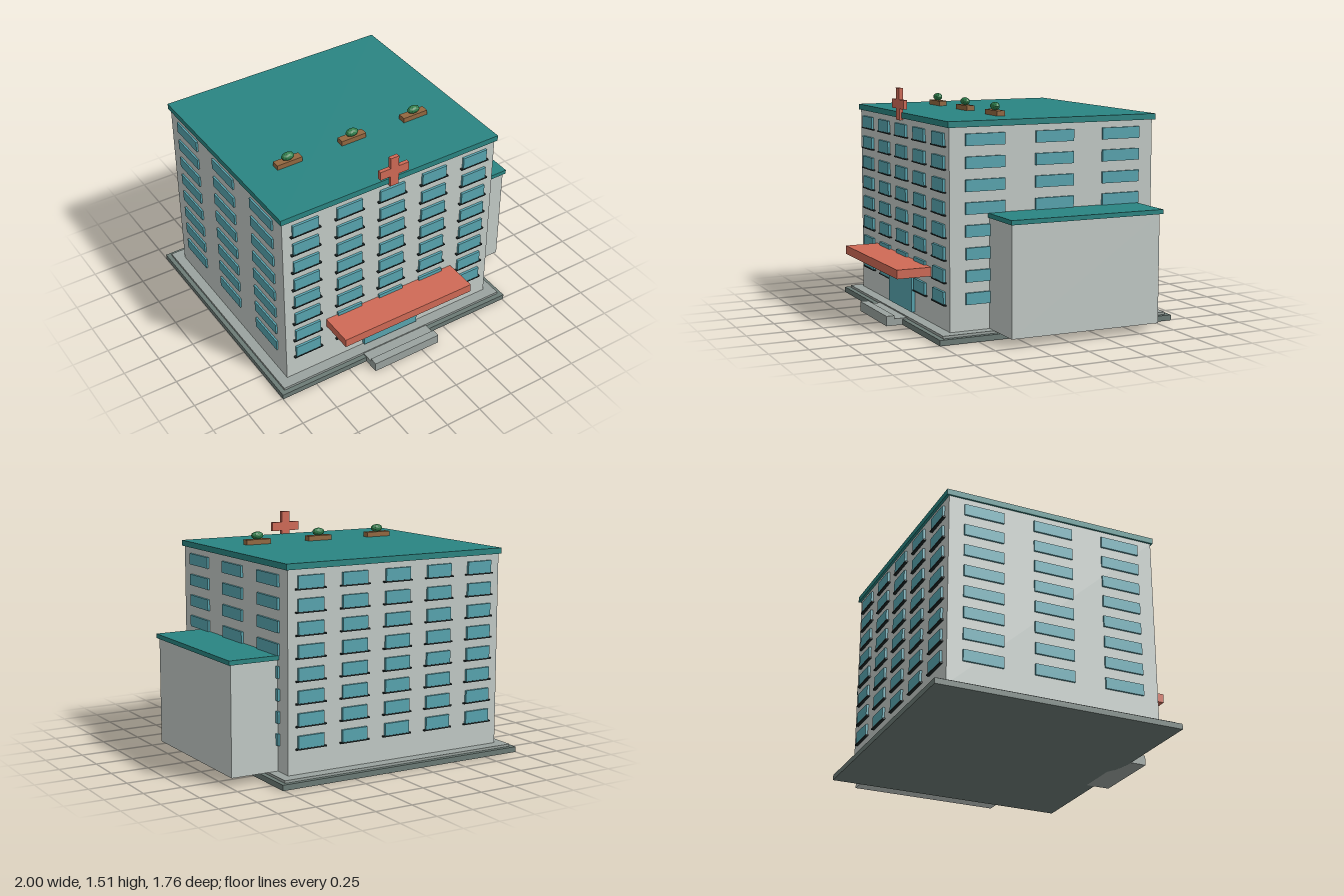
import * as THREE from 'three';

const mat = (color) => new THREE.MeshStandardMaterial({ color, flatShading: true });

export function createModel() {
  const model = new THREE.Group();
  model.name = 'hospital';
  const wall = mat(0xc3cbc7), teal = mat(0x2a8582), glass = mat(0x58a5b0);
  const darkStone = mat(0x6c7b76), stone = mat(0x9aa39f), red = mat(0xd06a56);
  const wood = mat(0x936840), leaf = mat(0x2e7d4a), dark = mat(0x1c2626);

  // Box given by its extents along each axis
  function box(name, material, [x0, x1], [y0, y1], [z0, z1], parent = model) {
    const m = new THREE.Mesh(new THREE.BoxGeometry(x1 - x0, y1 - y0, z1 - z0), material);
    m.position.set((x0 + x1) / 2, (y0 + y1) / 2, (z0 + z1) / 2);
    m.name = name;
    parent.add(m);
    return m;
  }
  function group(name) {
    const g = new THREE.Group();
    g.name = name;
    model.add(g);
    return g;
  }

  // Plinth in two steps
  box('basePlinth', darkStone, [-1, 0.76], [0, 0.036], [-0.88, 0.757]);
  box('upperPlinth', stone, [-0.97, 0.73], [0.036, 0.052], [-0.85, 0.724]);

  // Main block and its flat roof
  box('mainBlock', wall, [-0.905, 0.663], [0.052, 1.316], [-0.771, 0.65]);
  box('mainRoof', teal, [-0.917, 0.679], [1.316, 1.354], [-0.788, 0.663]);

  // Side wing
  box('wing', wall, [0.66, 0.983], [0.052, 0.752], [-0.643, 0.382]);
  box('wingRoof', teal, [0.66, 1], [0.752, 0.781], [-0.66, 0.393]);

  // Windows: eight floors on all four faces, sills on front and back
  const frontWindows = group('frontWindows'), backWindows = group('backWindows');
  const sideWindows = group('sideWindows');
  for (let floor = 0; floor < 8; floor++) {
    const y = 0.214 + floor * 0.1405;
    for (let col = 0; col < 5; col++) {
      const x = -0.746 + col * 0.313;
      const faces = [[backWindows, [-0.787, -0.76]]];
      // The entrance takes the place of the middle ground-floor window
      if (floor > 0 || col !== 2) faces.push([frontWindows, [0.64, 0.666]]);
      for (const [parent, z] of faces) {
        box('window', glass, [x - 0.09, x + 0.09], [y, y + 0.08], z, parent);
        box('sill', dark, [x - 0.105, x + 0.105], [y - 0.007, y + 0.002],
          [z[0] - 0.002, z[1] + 0.002], parent);
      }
    }
    for (const z of [0.413, -0.064, -0.537]) {
      for (const x of [[-0.917, -0.89], [0.65, 0.678]]) {
        box('sideWindow', glass, x, [y + 0.004, y + 0.078], [z - 0.133, z + 0.133], sideWindows);
      }
    }
  }

  // Entrance: door, canopy and step with a raised front lip
  box('entranceDoor', glass, [-0.327, 0.085], [0.064, 0.337], [0.64, 0.674]);
  box('canopy', red, [-0.605, 0.365], [0.352, 0.41], [0.645, 0.88]);
  box('entranceStep', stone, [-0.367, 0.13], [0, 0.044], [0.7, 0.81]);
  box('stepLip', stone, [-0.367, 0.13], [0, 0.065], [0.81, 0.866]);

  // Cross sign at the roof edge, extruded from one outline
  const a = 0.03, b = 0.104;
  const outline = [[a, b], [a, a], [b, a], [b, -a], [a, -a], [a, -b],
    [-a, -b], [-a, -a], [-b, -a], [-b, a], [-a, a], [-a, b]];
  const crossShape = new THREE.Shape(outline.map(([x, y]) => new THREE.Vector2(x, y)));
  const cross = new THREE.Mesh(
    new THREE.ExtrudeGeometry(crossShape, { depth: 0.026, bevelEnabled: false }), red);
  cross.position.set(-0.121, 1.407, 0.652);
  cross.name = 'crossSign';
  model.add(cross);

  // Rooftop planters with bushes
  for (const x of [-0.59, -0.121, 0.348]) {
    const planter = group('planter');
    box('planterBox', wood, [x - 0.09, x + 0.09], [1.35, 1.387], [0.171, 0.225], planter);
    const bush = new THREE.Mesh(new THREE.IcosahedronGeometry(0.028, 1), leaf);
    bush.scale.set(1.6, 0.95, 1);
    bush.position.set(x, 1.411, 0.198);
    bush.name = 'bush';
    planter.add(bush);
  }
  return model;
}
